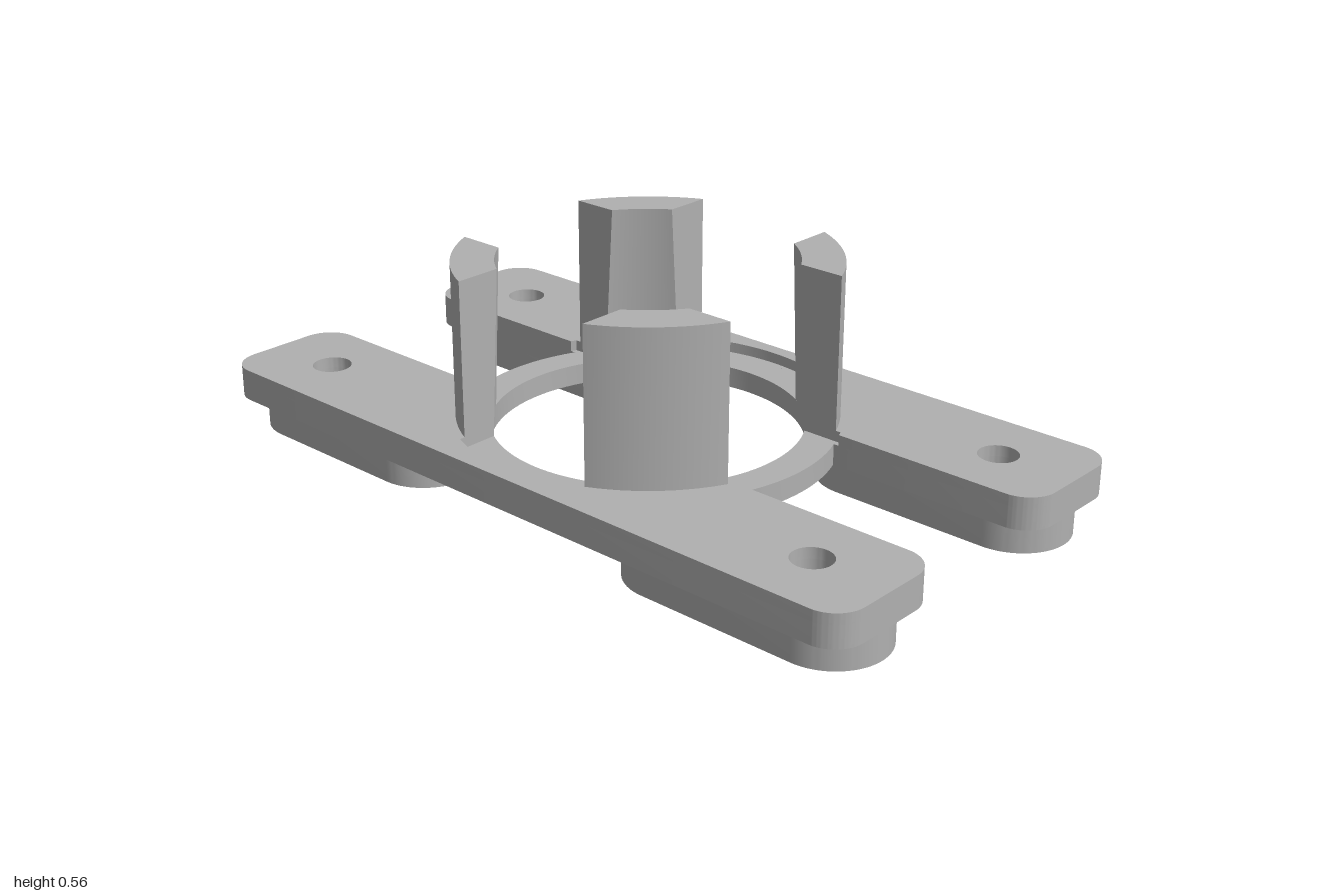
import * as THREE from 'three';
import { toCreasedNormals } from 'three/addons/utils/BufferGeometryUtils.js';

const PI = Math.PI;
const BASE = 0.087, LEDGE = 0.142, DECK = 0.17, TOP = 0.565; // heights
const R_IN = 0.39, R_OUT = 0.474, R_RECESS = 0.487;          // radii
const HALF = 0.2;                                            // half the gap between posts
const EDGE = 0.185;                                          // inner edge of the bars
const HOLE_X = 0.352, HOLE_Z = 0.792;

export function createModel() {
  const group = new THREE.Group();
  const grey = new THREE.MeshStandardMaterial({ color: 0xb0b0b0 });
  grey.name = 'grey';

  const add = (parent, name, geometry) => {
    const mesh = new THREE.Mesh(toCreasedNormals(geometry, 0.5), grey);
    mesh.name = name;
    parent.add(mesh);
    return mesh;
  };

  // Upright slab between two heights from a plan-view shape
  const slab = (shape, y0, y1) =>
    new THREE.ExtrudeGeometry(shape, { depth: y1 - y0, bevelEnabled: false, curveSegments: 24 })
      .rotateX(-PI / 2).translate(0, y0, 0);

  const punch = (shape, z) =>
    shape.holes.push(new THREE.Path().absarc(HOLE_X, z, 0.05, 0, 2 * PI, true));

  // Bar outline with rounded corners; cutInner draws the edge facing the ring
  const barShape = (cutInner) => {
    const s = new THREE.Shape(), r = 0.08, x0 = EDGE + r, x1 = 0.525 - r, z = 1 - r;
    s.absarc(x0, -z, r, PI, 1.5 * PI);
    s.absarc(x1, -z, r, 1.5 * PI, 2 * PI);
    s.absarc(x1, z, r, 0, PI / 2);
    s.absarc(x0, z, r, PI / 2, PI);
    cutInner(s);
    punch(s, HOLE_Z);
    punch(s, -HOLE_Z);
    return s;
  };

  // Lower layer stops at the ring
  const lowerShape = barShape((s) => {
    const a = Math.acos(EDGE / R_OUT);
    s.absarc(0, 0, R_OUT, a, -a, true);
  });

  // Upper layer is recessed between the posts and runs in under them
  const upperShape = barShape((s) => {
    const a0 = Math.acos(EDGE / R_RECESS), a1 = Math.acos(HALF / R_RECESS);
    const b = Math.asin(HALF / R_RECESS);
    s.absarc(0, 0, R_RECESS, a0, a1, true);
    s.lineTo(HALF, 0.38);
    s.lineTo(0.38, HALF);
    s.absarc(0, 0, R_RECESS, b, -b, true);
    s.lineTo(0.38, -HALF);
    s.lineTo(HALF, -0.38);
    s.absarc(0, 0, R_RECESS, -a1, -a0, true);
  });

  // Foot pad: a slot shape with a bolt hole
  const footShape = (side) => {
    const s = new THREE.Shape(), r = 0.137;
    const near = 0.29 + r, far = 0.985 - r;
    const lo = side > 0 ? near : -far, hi = side > 0 ? far : -near;
    s.absarc(HOLE_X, hi, r, 0, PI);
    s.absarc(HOLE_X, lo, r, PI, 2 * PI);
    punch(s, side * HOLE_Z);
    return s;
  };

  // Two bars, each with a pair of feet
  ['leftBar', 'rightBar'].forEach((name, i) => {
    const bar = new THREE.Group();
    bar.name = name;
    bar.rotation.y = i * PI;
    add(bar, 'barLower', slab(lowerShape, BASE, LEDGE));
    add(bar, 'barUpper', slab(upperShape, LEDGE, DECK));
    for (const side of [1, -1]) add(bar, 'foot', slab(footShape(side), 0, BASE));
    group.add(bar);
  });

  // Central ring
  const ring = new THREE.Shape().absarc(0, 0, R_OUT, 0, 2 * PI);
  ring.holes.push(new THREE.Path().absarc(0, 0, R_IN, 0, 2 * PI, true));
  add(group, 'ring', new THREE.ExtrudeGeometry(ring, { depth: LEDGE - BASE, bevelEnabled: false, curveSegments: 64 })
    .rotateX(-PI / 2).translate(0, BASE, 0));

  // Post: a box bent around the ring, its inner face leaning in towards the top
  const post = new THREE.BoxGeometry(1, 1, 1, 1, 1, 16);
  const p = post.attributes.position;
  for (let i = 0; i < p.count; i++) {
    const v = p.getY(i) + 0.5;
    const r = p.getX(i) > 0 ? R_OUT : THREE.MathUtils.lerp(R_IN, 0.368, v);
    const lo = Math.asin(HALF / r);
    const a = THREE.MathUtils.lerp(lo, PI / 2 - lo, p.getZ(i) + 0.5);
    p.setXYZ(i, r * Math.cos(a), THREE.MathUtils.lerp(LEDGE, TOP, v), r * Math.sin(a));
  }
  for (let i = 0; i < 4; i++) add(group, 'post', post).rotation.y = i * PI / 2;

  return group;
}
